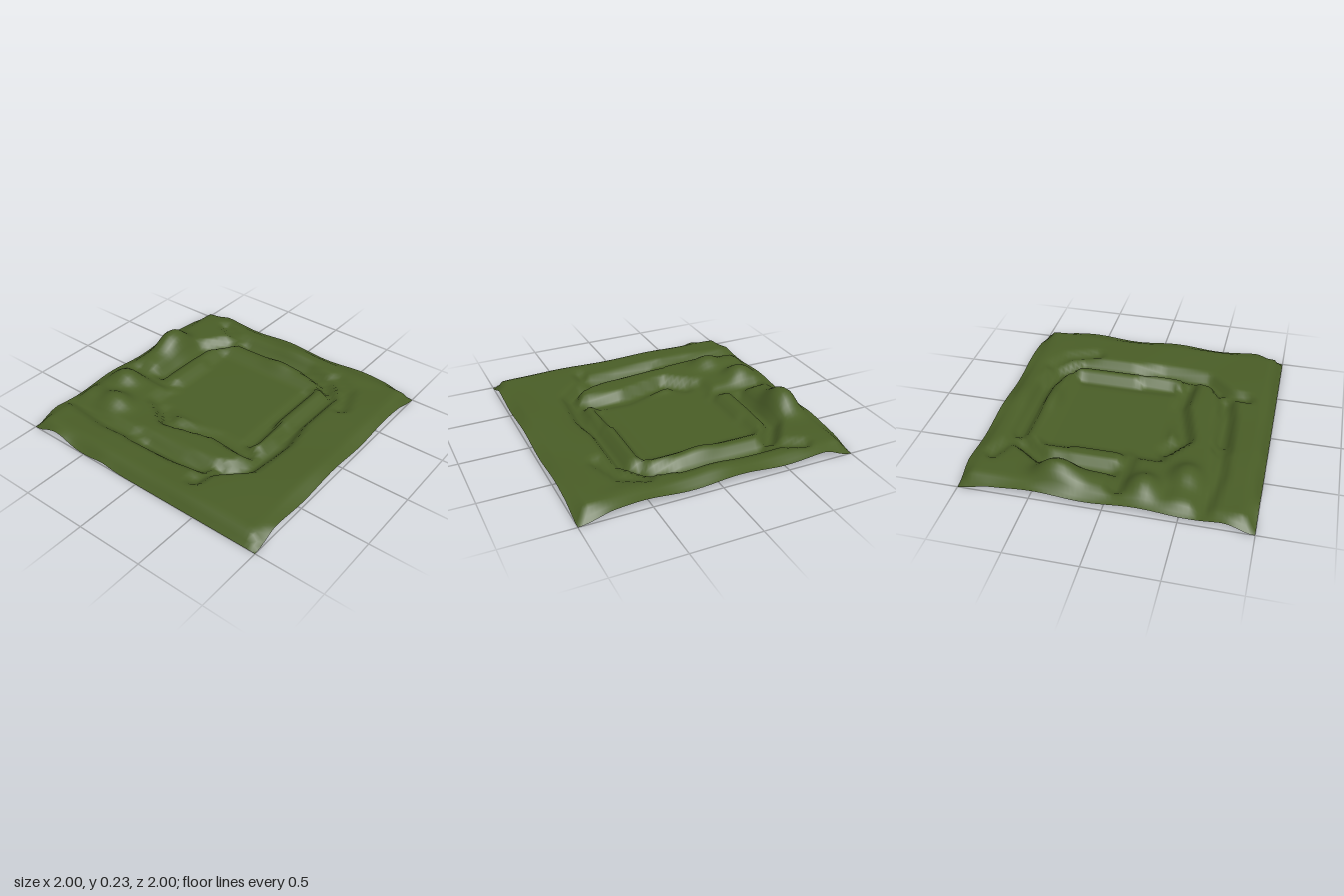
import * as THREE from 'three';

const PLATEAU = 0.088;
const smooth = (a, b, v) => THREE.MathUtils.smoothstep(v, a, b);
const lerp = THREE.MathUtils.lerp;

// Distance from a point to a polyline of [x, z] points
function pathDistance(x, z, pts) {
  let best = Infinity;
  for (let i = 0; i < pts.length - 1; i++) {
    const [ax, az] = pts[i], [bx, bz] = pts[i + 1];
    const dx = bx - ax, dz = bz - az;
    const t = THREE.MathUtils.clamp(((x - ax) * dx + (z - az) * dz) / (dx * dx + dz * dz), 0, 1);
    best = Math.min(best, Math.hypot(x - ax - t * dx, z - az - t * dz));
  }
  return best;
}

// Sunken tracks and low banks: level, flat half-width, outer half-width, path
const strokes = [
  // outer track around the basin
  { y: 0.014, r: 0.01, R: 0.09, p: [[-0.28, 0.68], [0.1, 0.66], [0.36, 0.62], [0.53, 0.45], [0.56, 0.1],
    [0.52, -0.15], [0.52, -0.55], [0.4, -0.7], [0.18, -0.76], [-0.48, -0.76], [-0.66, -0.5], [-0.66, 0.02]] },
  { y: 0.045, r: 0.01, R: 0.08, p: [[-0.95, 0.65], [-0.55, 0.7], [-0.28, 0.68]] },
  // short spurs off the track
  { y: 0.05, r: 0.01, R: 0.07, p: [[0.36, 0.62], [0.34, 0.78]] },
  { y: 0.055, r: 0.01, R: 0.07, p: [[-0.48, -0.76], [-0.7, -0.86]] },
  { y: 0.055, r: 0.01, R: 0.08, p: [[0.45, -0.78], [0.6, -0.7], [0.68, -0.48]] },
  // inner gully on the right and front
  { y: 0.012, r: 0.015, R: 0.08, p: [[0.37, -0.5], [0.37, -0.05], [0.38, 0.2]] },
  { y: 0.012, r: 0.02, R: 0.09, p: [[0.43, 0.32], [0.15, 0.3], [-0.22, 0.4], [-0.36, 0.3]] },
  // side track between the left hills
  { y: 0.05, r: 0.015, R: 0.09, p: [[-0.85, 0.06], [-0.5, 0.07]] },
  // banks beside the tracks
  { y: 0.085, r: 0.01, R: 0.08, p: [[0.44, -0.55], [0.44, -0.1]] },
  { y: 0.09, r: 0.01, R: 0.09, p: [[0.4, 0.47], [0, 0.48], [-0.25, 0.54]] },
  { y: 0.085, r: 0.02, R: 0.1, p: [[-0.54, -0.3], [-0.54, -0.03]] },
];

// Blunt hills: x, z, added height, radius in x, radius in z
const hills = [
  [-0.84, -0.34, 0.142, 0.115, 0.155],
  [-0.84, -0.1, 0.03, 0.1, 0.12],
  [-0.81, 0.24, 0.073, 0.11, 0.1],
  [-0.66, 0.5, 0.073, 0.125, 0.1],
  [-0.88, 0.5, 0.025, 0.1, 0.09],
  [0, -0.65, 0.022, 0.12, 0.06],
  [0, -0.88, 0.014, 0.14, 0.06],
  [0.6, -0.87, 0.01, 0.14, 0.06],
];

// Height of the outer border, falling to zero at the corners
function borderHeight(x, z) {
  const side = (0.058 + 0.012 * Math.sin(9 * (x - z))) * smooth(0, 0.24, 2 - Math.abs(x) - Math.abs(z));
  const front = 0.06 * Math.exp(-(((x + 0.77) / 0.14) ** 2)) + 0.02 * Math.exp(-(((x + 0.32) / 0.1) ** 2));
  return lerp(side, front * smooth(0, 0.12, 1 + x), smooth(0.92, 1, z));
}

function height(x, z) {
  let h = PLATEAU + 0.005 * Math.sin(7 * x + 1) * Math.sin(6 * z);
  // flat central basin with a slanted front edge
  const out = Math.hypot(Math.max(-0.45 - x, x - 0.33, 0), Math.max(-0.53 - z, z - 0.26, 0));
  h = lerp(0.032, h, smooth(0, 0.1, out));
  for (const s of strokes) h = lerp(s.y, h, smooth(s.r, s.R, pathDistance(x, z, s.p)));
  for (const [hx, hz, a, rx, rz] of hills) {
    h += a * Math.exp(-(Math.hypot((x - hx) / rx, (z - hz) / rz) ** 2.6));
  }
  // rim drops towards the border
  const edge = Math.min(1 - Math.abs(x), 1 - Math.abs(z));
  return Math.max(0, lerp(borderHeight(x, z), h, smooth(0, 0.09, edge)));
}

export function createModel() {
  const group = new THREE.Group();
  group.name = 'terrain';
  const grass = new THREE.MeshStandardMaterial({ color: 0x4a5e27, side: THREE.DoubleSide });
  grass.name = 'grassGreen';

  // Height field on a regular grid
  const geometry = new THREE.PlaneGeometry(2, 2, 64, 64).rotateX(-Math.PI / 2);
  const pos = geometry.attributes.position;
  for (let i = 0; i < pos.count; i++) pos.setY(i, height(pos.getX(i), pos.getZ(i)));
  geometry.computeVertexNormals();

  const ground = new THREE.Mesh(geometry, grass);
  ground.name = 'ground';
  group.add(ground);
  return group;
}
